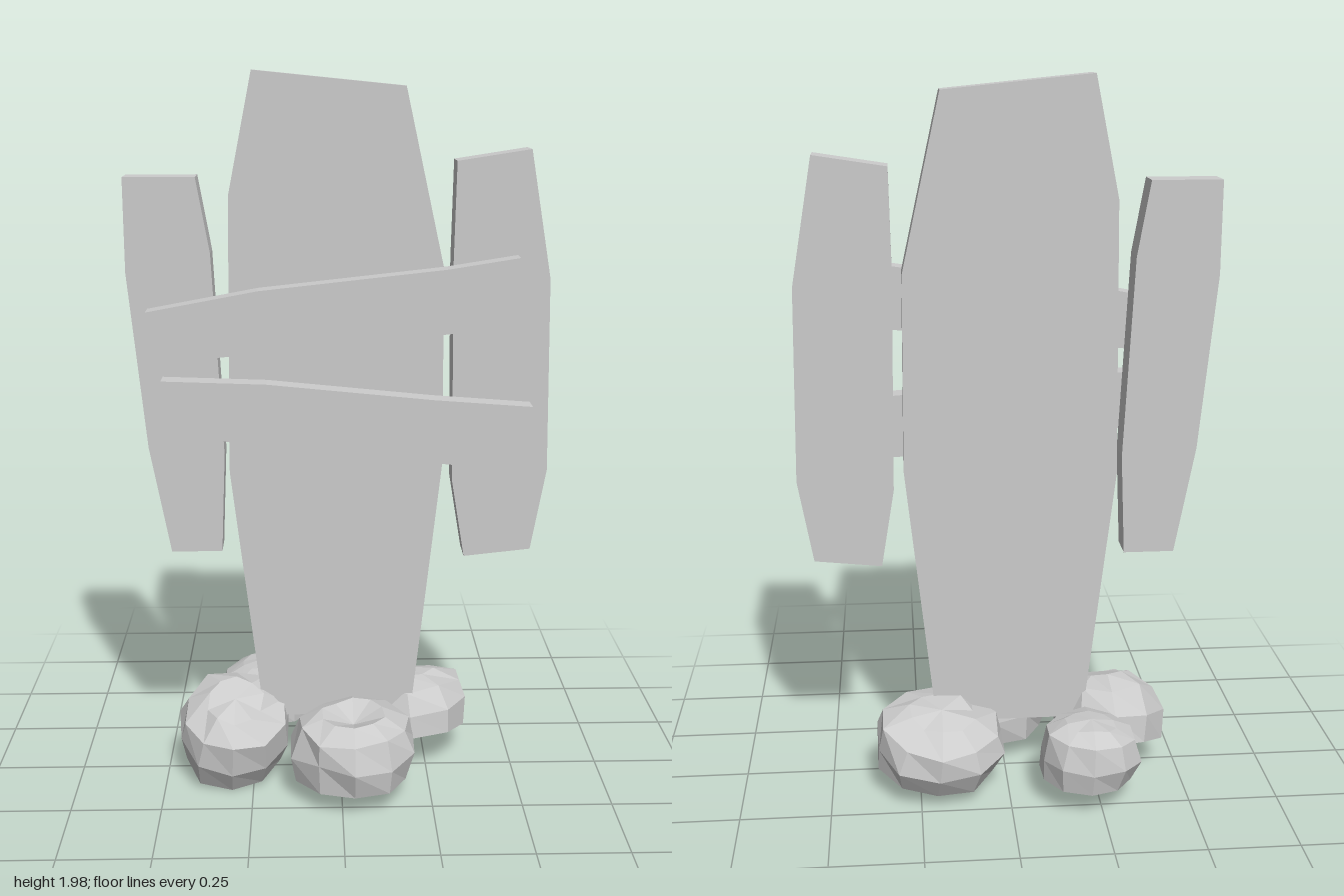
import * as THREE from 'three';

const material = new THREE.MeshStandardMaterial({ color: 0xcccccc, flatShading: true });

// Flat board cut from an outline, spanning zBack to zFront
function board(name, outline, zBack, zFront) {
  const shape = new THREE.Shape(outline.map(([x, y]) => new THREE.Vector2(x, y)));
  const geometry = new THREE.ExtrudeGeometry(shape, { depth: zFront - zBack, bevelEnabled: false });
  geometry.translate(0, 0, zBack);
  const mesh = new THREE.Mesh(geometry, material);
  mesh.name = name;
  return mesh;
}

// Small seeded generator giving values from -1 to 1
function seeded(seed) {
  let s = seed;
  return () => {
    s = (s * 16807) % 2147483647;
    return (s / 2147483647) * 2 - 1;
  };
}

// Steep-walled faceted boulder with a flat base; apex is the height of the top centre
function rock(name, { position, size, tilt, apex, seed, sides = 10 }) {
  const profile = [[0, 0], [0.92, 0], [1, 0.42], [0.9, 0.8], [0.5, 0.97], [0, apex]];
  const geometry = new THREE.LatheGeometry(profile.map(([r, y]) => new THREE.Vector2(r, y)), sides);
  const random = seeded(seed);
  const offsets = Array.from({ length: sides * profile.length }, () => [random(), random()]);
  const p = geometry.attributes.position;
  for (let i = 0; i < p.count; i++) {
    const row = i % profile.length;
    const column = Math.floor(i / profile.length) % sides;
    const [a, b] = offsets[column * profile.length + row];
    const spread = 1 + a * 0.06;
    const lift = row > 1 && row < profile.length - 1 ? b * 0.06 : 0;
    p.setXYZ(i, p.getX(i) * spread, p.getY(i) + lift, p.getZ(i) * spread);
  }
  geometry.scale(...size);
  geometry.computeVertexNormals();
  const mesh = new THREE.Mesh(geometry, material);
  mesh.position.set(...position);
  mesh.rotation.set(tilt[0], 0, tilt[1]);
  mesh.name = name;
  return mesh;
}

export function createModel() {
  const model = new THREE.Group();
  model.name = 'woodenMarker';

  // Upright boards
  model.add(
    board('centreBoard', [[-0.23, 2], [-0.295, 1.68], [-0.305, 0.93], [-0.22, 0.2],
      [0.2, 0.2], [0.28, 0.95], [0.275, 1.49], [0.17, 1.96]], -0.058, 0.032),
    board('rightBoard', [[-0.57, 1.73], [-0.57, 1.48], [-0.525, 1.0], [-0.47, 0.7],
      [-0.33, 0.7], [-0.318, 0.98], [-0.345, 1.53], [-0.38, 1.73]], -0.058, 0.032),
    board('leftBoard', [[0.305, 1.77], [0.3, 1.5], [0.308, 0.9], [0.345, 0.68],
      [0.53, 0.7], [0.57, 0.93], [0.56, 1.46], [0.5, 1.8]], -0.058, 0.032),
  );

  // Crosspieces across the front
  model.add(
    board('upperCrosspiece', [[-0.515, 1.385], [-0.47, 1.25], [-0.2, 1.275], [0.3, 1.325],
      [0.5, 1.375], [0.47, 1.525], [0.28, 1.495], [-0.22, 1.44]], 0.038, 0.098),
    board('lowerCrosspiece', [[-0.48, 1.2], [-0.465, 1.06], [-0.2, 1.015], [0.3, 0.965],
      [0.515, 0.97], [0.515, 1.125], [0.25, 1.145], [-0.2, 1.19]], 0.038, 0.098),
  );

  // Rocks around the foot
  model.add(
    rock('frontRock', { position: [0.033, 0.085, 0.16], size: [0.175, 0.185, 0.17],
      tilt: [0, 0], apex: 0.78, seed: 11 }),
    rock('rightRock', { position: [-0.31, 0.085, 0.0], size: [0.16, 0.2, 0.175],
      tilt: [0.4, -0.05], apex: 1.02, seed: 23 }),
    rock('leftRock', { position: [0.205, 0.1, -0.09], size: [0.185, 0.17, 0.175],
      tilt: [-0.24, 0.1], apex: 1.05, seed: 37 }),
    rock('backRock', { position: [-0.215, 0.1, -0.205], size: [0.143, 0.165, 0.13],
      tilt: [-0.06, 0.05], apex: 1.03, seed: 53 }),
  );
  return model;
}
